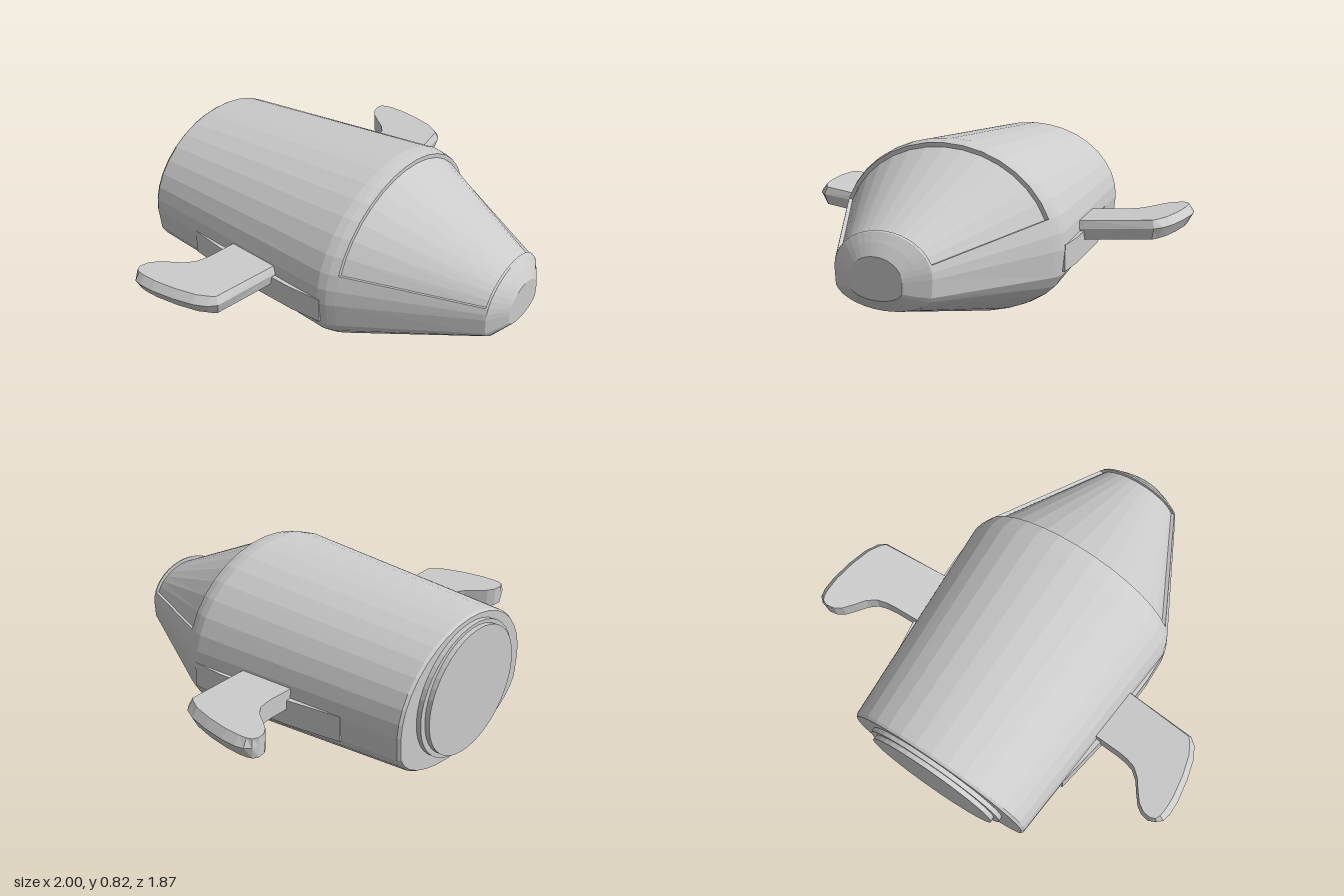
import * as THREE from 'three';

const grey = new THREE.MeshStandardMaterial({ color: 0xcccccc, flatShading: true });
const rad = THREE.MathUtils.degToRad;

function makeMesh(name, geometry, parent) {
  const mesh = new THREE.Mesh(geometry, grey);
  mesh.name = name;
  parent.add(mesh);
  return mesh;
}

function indexed(points, index) {
  const geo = new THREE.BufferGeometry();
  geo.setAttribute('position', new THREE.Float32BufferAttribute(points.flat(), 3));
  geo.setIndex(index);
  const flat = geo.toNonIndexed();
  flat.computeVertexNormals();
  return flat;
}

// Hull cross-section: elliptical roof, creased lower sides and a shallow belly.
// "inset" sinks the canopy part of the roof.
function hullRing({ z, a, top, mid, crease, bottom, inset = 0 }) {
  const ring = [];
  const roof = (deg, sink) => {
    const c = Math.cos(rad(deg)), s = Math.sin(rad(deg));
    ring.push([(a - sink) * c, mid + (top - mid - sink) * s, z]);
  };
  for (const deg of [0, 9.5, 19]) roof(deg, 0);
  for (let i = 0; i <= 14; i++) roof(19 + (142 * i) / 14, inset);
  for (const deg of [161, 170.5, 180]) roof(deg, 0);
  const cy = crease + (crease - bottom) * 0.25;
  for (let i = 0; i <= 14; i++) {
    const t = rad(191.54 + (156.92 * i) / 14);
    ring.push([a * Math.cos(t), cy + (cy - bottom) * Math.sin(t), z]);
  }
  return ring;
}

// Skins rings listed from front to back and closes both ends
function loft(rings) {
  const n = rings[0].length;
  const points = rings.flat();
  const index = [];
  for (let r = 0; r < rings.length - 1; r++) {
    for (let j = 0; j < n; j++) {
      const k = (j + 1) % n;
      const a = r * n + j, b = r * n + k, c = a + n, d = b + n;
      index.push(a, c, b, b, c, d);
    }
  }
  const last = (rings.length - 1) * n;
  for (let j = 1; j < n - 1; j++) {
    index.push(0, j, j + 1);
    index.push(last, last + j + 1, last + j);
  }
  return indexed(points, index);
}

// Fin: bevelled front and tip, curved rear edge, rising slightly outwards
function finGeometry(side) {
  // x, z and the inward shift of the top and bottom faces
  const outline = [
    [0.48, -0.055, 0, -0.012], [0.56, -0.06, 0, -0.012], [0.895, -0.09, -0.012, -0.015],
    [0.93, -0.12, -0.03, -0.005], [0.96, -0.18, -0.03, 0], [0.985, -0.28, -0.03, 0],
    [1, -0.39, -0.03, 0], [1, -0.46, -0.03, 0], [0.99, -0.5, -0.025, 0.005],
    [0.965, -0.522, -0.01, 0.005], [0.93, -0.528, 0, 0], [0.89, -0.52, 0, 0],
    [0.855, -0.495, 0, 0], [0.82, -0.45, 0, 0], [0.785, -0.4, 0, 0],
    [0.745, -0.366, 0, 0], [0.7, -0.352, 0, 0], [0.65, -0.345, 0, 0], [0.48, -0.335, 0, 0],
  ];
  const n = outline.length;
  const layer = (height, shift) => outline.map(([x, z, dx, dz]) => {
    const px = x + dx * shift;
    return [side * px, height + 0.085 * (px - 0.57), z + dz * shift];
  });
  const points = [...layer(0.34, 1), ...layer(0.395, 0), ...layer(0.433, 1)];
  const index = [];
  const tri = (a, b, c) => (side > 0 ? index.push(a, b, c) : index.push(a, c, b));
  for (let l = 0; l < 2; l++) {
    for (let j = 0; j < n; j++) {
      const k = (j + 1) % n;
      const a = l * n + j, b = l * n + k;
      tri(a, b, a + n);
      tri(b, b + n, a + n);
    }
  }
  const flat = outline.map(([x, z, dx, dz]) => new THREE.Vector2(x + dx, z + dz));
  for (const face of THREE.ShapeUtils.triangulateShape(flat, [])) {
    let [a, b, c] = face;
    const area = (flat[b].x - flat[a].x) * (flat[c].y - flat[a].y)
      - (flat[c].x - flat[a].x) * (flat[b].y - flat[a].y);
    if (area < 0) [b, c] = [c, b];
    tri(a, b, c);
    tri(a + 2 * n, c + 2 * n, b + 2 * n);
  }
  return indexed(points, index);
}

// Slim raised strip along the hull below the fin
function sideStrip(side) {
  const profile = [[0.45, 0.21], [0.569, 0.21], [0.574, 0.05], [0.552, -0.33], [0.506, -0.6], [0.45, -0.6]];
  const shape = new THREE.Shape(profile.map(([x, z]) => new THREE.Vector2(side * x, -z)));
  const geo = new THREE.ExtrudeGeometry(shape, { depth: 0.125, bevelEnabled: false });
  geo.rotateX(-Math.PI / 2);
  geo.translate(0, 0.258, 0);
  return geo;
}

export function createModel() {
  const model = new THREE.Group();
  model.name = 'podCraft';

  // Hull from nose tip to tail, with the canopy sunk into the nose cone
  const noseRim = { z: 0.87, a: 0.232, top: 0.54, mid: 0.365, crease: 0.285, bottom: 0.2 };
  const rim = { ...noseRim, z: 0.86, a: 0.238, top: 0.544, bottom: 0.197 };
  const shoulder = { z: 0.28, a: 0.543, top: 0.82, mid: 0.365, crease: 0.243, bottom: 0.022 };
  const sections = [
    { z: 0.93, a: 0.125, top: 0.45, mid: 0.355, crease: 0.305, bottom: 0.262 },
    { z: 0.9, a: 0.18, top: 0.5, mid: 0.36, crease: 0.293, bottom: 0.232 },
    noseRim,
    rim,
    { ...rim, inset: 0.02 },
    { ...shoulder, inset: 0.02 },
    shoulder,
    { z: 0.24, a: 0.561, top: 0.827, mid: 0.365, crease: 0.241, bottom: 0.01 },
    { z: 0.2, a: 0.57, top: 0.83, mid: 0.365, crease: 0.24, bottom: 0.005 },
    { z: -0.88, a: 0.482, top: 0.758, mid: 0.38, crease: 0.267, bottom: 0.072 },
    { z: -0.893, a: 0.472, top: 0.75, mid: 0.38, crease: 0.269, bottom: 0.08 },
  ];
  makeMesh('hullWithCanopy', loft(sections.map(hullRing)), model);

  // Stepped tail plates
  const plates = [['tailRing', 0.365, 0.313, -0.915], ['tailPlate', 0.335, 0.298, -0.938]];
  for (const [name, rx, ry, back] of plates) {
    const depth = -0.87 - back;
    const geo = new THREE.CylinderGeometry(1, 1, depth, 40);
    geo.rotateX(Math.PI / 2);
    geo.scale(rx, ry, 1);
    geo.translate(0, 0.415, back + depth / 2);
    makeMesh(name, geo, model);
  }

  // Fins and side strips, mirrored
  for (const [label, side] of [['left', 1], ['right', -1]]) {
    makeMesh(label + 'Fin', finGeometry(side), model);
    makeMesh(label + 'SideStrip', sideStrip(side), model);
  }
  return model;
}
